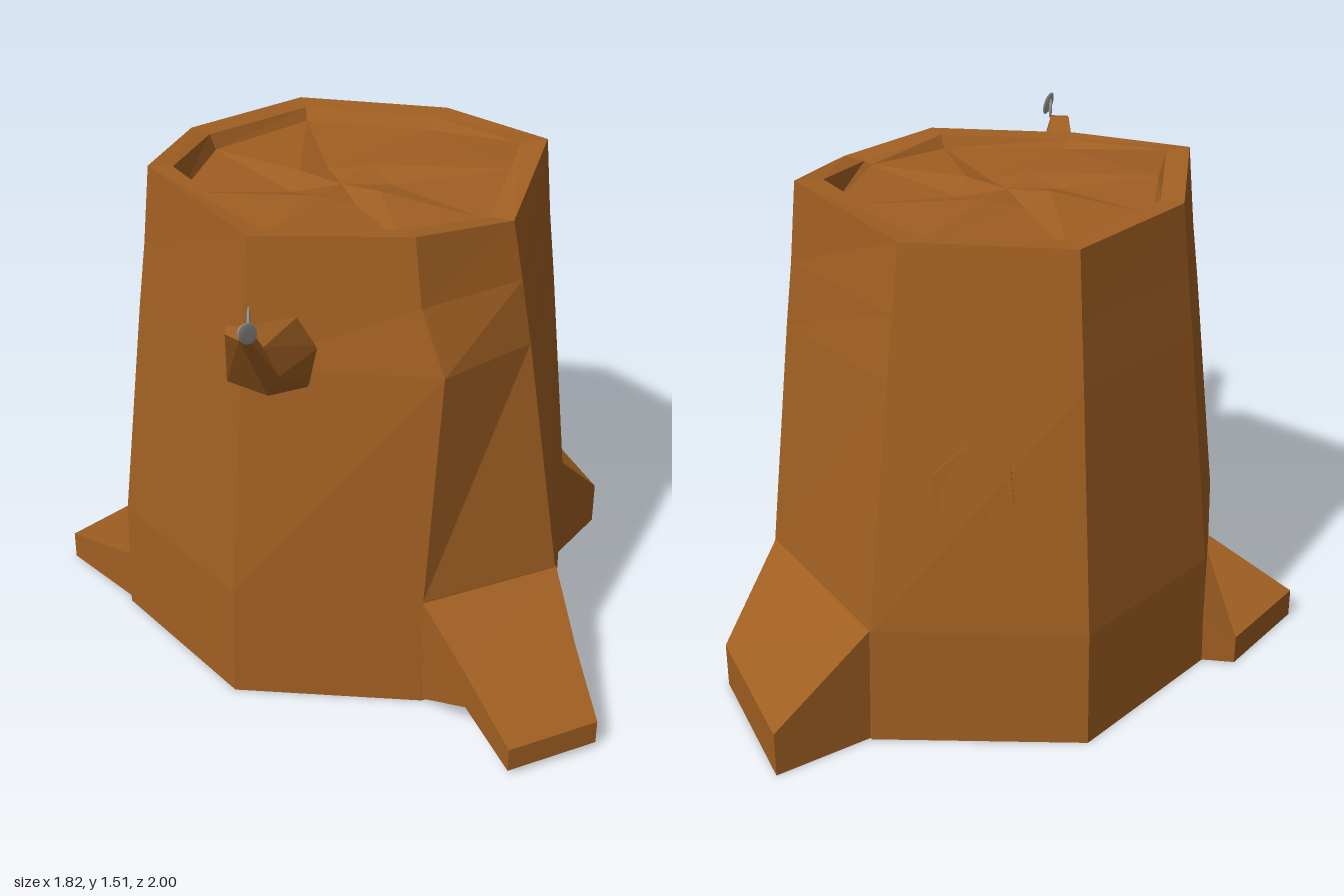
import * as THREE from 'three';

const bark = new THREE.MeshStandardMaterial({ color: 0xa05f22 });
bark.name = 'bark brown';
bark.flatShading = true;
const grey = new THREE.MeshStandardMaterial({ color: 0x9c9c9a, side: THREE.DoubleSide });
grey.name = 'leaf grey';

// Joins rings of [x, y, z] points, each ring counterclockwise seen from the far end
function loft(name, rings, capStart = false) {
  const n = rings[0].length, out = [];
  const middle = r => [0, 1, 2].map(k => r.reduce((s, p) => s + p[k], 0) / n);
  const all = [...rings, rings[0].map(() => middle(rings[rings.length - 1]))];
  if (capStart) all.unshift(rings[0].map(() => middle(rings[0])));
  for (let i = 0; i < all.length - 1; i++) {
    for (let j = 0; j < n; j++) {
      const k = (j + 1) % n, a = all[i], b = all[i + 1];
      const open = i > 0 || !capStart;
      if (open) out.push(...a[j], ...a[k], ...b[k]);
      if (i < all.length - 2) out.push(...a[j], ...b[k], ...b[j]);
      else if (!open) out.push(...a[j], ...b[k], ...b[j]);
    }
  }
  if (capStart) {
    // the first band runs from the centre to the first ring
    const band = n * 9;
    if (out.length < band) throw new Error('empty loft');
  }
  const g = new THREE.BufferGeometry();
  g.setAttribute('position', new THREE.Float32BufferAttribute(out, 3));
  g.computeVertexNormals();
  const mesh = new THREE.Mesh(g, bark);
  mesh.name = name;
  return mesh;
}

// Root sections: [left x, left z, right x, right z, left bottom, right bottom, top]
function root(name, sections) {
  return loft(name, sections.map(([lx, lz, rx, rz, bl, br, t]) =>
    [[lx, bl, lz], [rx, br, rz], [rx, t, rz], [lx, t, lz]]));
}

export function createModel() {
  const stump = new THREE.Group();
  stump.name = 'treeStump';

  // Trunk corners: base x, base z, rim x, rim z, rim height
  const corners = [
    [-0.64, 0.24, -0.515, 0.19, 1.51], [-0.18, 0.60, -0.14, 0.48, 1.455],
    [0.38, 0.52, 0.31, 0.42, 1.47], [0.74, 0.25, 0.54, 0.18, 1.44],
    [0.69, -0.34, 0.57, -0.29, 1.51], [0.29, -0.80, 0.21, -0.62, 1.465],
    [-0.33, -0.73, -0.27, -0.61, 1.465], [-0.64, -0.26, -0.52, -0.23, 1.475],
  ];
  const side = (y, t) => corners.map(([bx, bz, tx, tz]) =>
    [bx + (tx - bx) * t, y, bz + (tz - bz) * t]);
  const inner = (s, height) => corners.map(([, , x, z, h], i) => [x * s, height(h, i), z * s]);
  const swell = side(1.08, 0.655), neck = side(1.27, 0.83);
  swell[2] = [0.41, 1.08, 0.47];
  neck[2] = [0.335, 1.27, 0.44];

  stump.add(loft('trunk', [
    side(0, 0), side(0.36, 0.06), swell, neck,
    inner(1, h => h),                              // outer rim
    inner(0.87, h => h - 0.005),                   // inner rim
    inner(0.83, () => 1.425),                      // sunken cut face
    inner(0.25, (h, i) => (i % 2 ? 1.435 : 1.41)), // cracked heart
  ], true));

  // Roots
  stump.add(root('frontRoot', [
    [0.37, 0.51, 0.73, 0.24, 0, 0, 0.36],
    [0.53, 0.64, 0.82, 0.43, 0.10, 0.02, 0.215],
    [0.68, 0.79, 0.91, 0.61, 0.02, 0.02, 0.095],
  ]));
  stump.add(root('backRoot', [
    [0.68, -0.34, 0.28, -0.78, 0, 0, 0.37],
    [0.78, -0.59, 0.52, -1.0, 0, 0, 0.14],
  ]));
  stump.add(root('sideRoot', [
    [-0.61, -0.26, -0.61, 0.24, 0, 0, 0.178],
    [-0.74, -0.26, -0.91, 0.04, 0, 0, 0.09],
  ]));

  // Broken branch on the front
  stump.add(loft('branch', [
    [[-0.13, 1.08, 0.44], [0.04, 1.0, 0.44], [0.06, 1.13, 0.44], [0.0, 1.22, 0.44], [-0.15, 1.18, 0.44]],
    [[-0.11, 1.18, 0.79], [0.0, 1.15, 0.79], [0.03, 1.21, 0.79], [-0.01, 1.29, 0.79], [-0.11, 1.28, 0.79]],
    [[-0.07, 1.385, 0.92], [-0.03, 1.38, 0.935], [-0.015, 1.385, 0.92], [-0.02, 1.39, 0.88], [-0.08, 1.39, 0.88]],
  ]));

  // Two little leaves at the branch tip: position, half length, half width, lean, turn
  [[[0, 1.415, 0.96], 0.044, 0.027, 0.6, 1.2], [[-0.015, 1.415, 0.895], 0.037, 0.018, 1.9, 1.85]]
    .forEach(([p, length, width, lean, turn], i) => {
      const leaf = new THREE.Mesh(new THREE.SphereGeometry(1, 12, 8), grey);
      leaf.name = i ? 'smallLeaf' : 'largeLeaf';
      leaf.scale.set(length, width, 0.005);
      leaf.position.set(...p);
      leaf.rotation.set(0, turn, Math.PI - lean, 'YXZ');
      stump.add(leaf);
    });

  // Knot in the bark on the back: two facing bent ridges
  const knot = new THREE.Group();
  knot.name = 'barkKnot';
  knot.position.set(0, 0.8, -0.709);
  knot.lookAt(-0.11, 0.926, -1.709);
  const ridge = new THREE.Shape([[-0.02, 0.12], [-0.11, 0.04], [-0.10, -0.08], [-0.08, 0.02]]
    .map(p => new THREE.Vector2(...p)));
  const geometry = new THREE.ExtrudeGeometry(ridge, { depth: 0.012, bevelEnabled: false });
  for (const turn of [0, Math.PI]) {
    const mesh = new THREE.Mesh(geometry, bark);
    mesh.name = 'knotRidge';
    mesh.rotation.z = turn;
    knot.add(mesh);
  }
  stump.add(knot);
  return stump;
}
